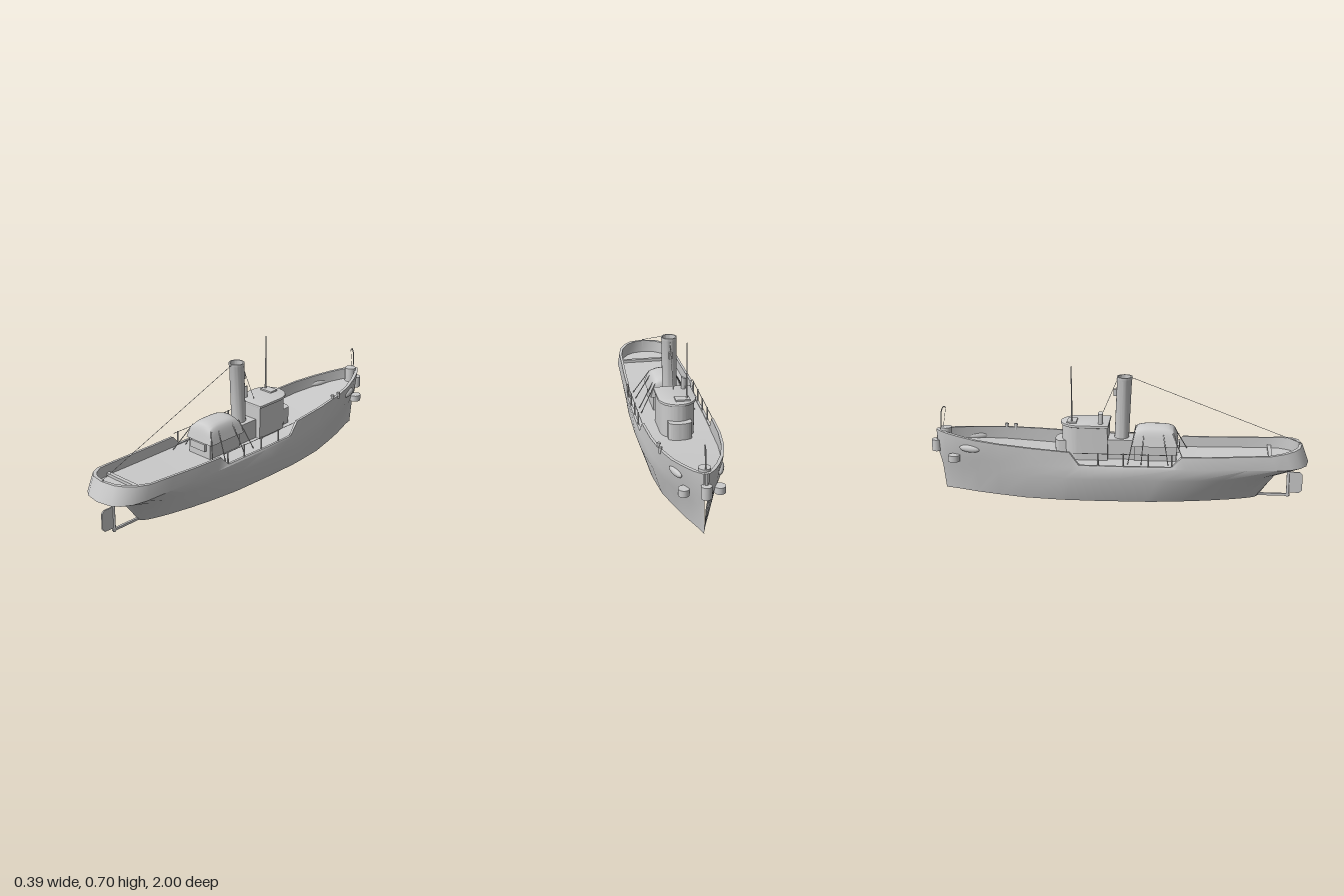
import * as THREE from 'three';
import { toCreasedNormals } from 'three/addons/utils/BufferGeometryUtils.js';

const mat = new THREE.MeshStandardMaterial({ color: 0xcccccc });
const matDouble = new THREE.MeshStandardMaterial({ color: 0xcccccc, side: THREE.DoubleSide });

// Piecewise linear lookup in a list of [position, value]
function along(list, p) {
  if (p <= list[0][0]) return list[0][1];
  for (let i = 1; i < list.length; i++) {
    const [p0, v0] = list[i - 1], [p1, v1] = list[i];
    if (p <= p1) return v0 + (v1 - v0) * (p - p0) / (p1 - p0);
  }
  return list[list.length - 1][1];
}

const SHEER = [[-0.97, 0.33], [-0.75, 0.31], [-0.5, 0.295], [-0.24, 0.278], [-0.19, 0.21],
  [0.29, 0.21], [0.34, 0.263], [0.5, 0.265], [0.8, 0.275], [0.965, 0.295]];
const DECK = [[-0.97, 0.27], [-0.3, 0.205], [0.4, 0.205], [0.97, 0.225]];

// Hull stations, bow to stern: z of the rail, half widths at keel, knuckle, waist and rail
const STATIONS = [
  [-0.97, 0, 0.002, 0.008, 0.012], [-0.92, 0.01, 0.022, 0.042, 0.052],
  [-0.85, 0.03, 0.05, 0.075, 0.087], [-0.75, 0.06, 0.088, 0.115, 0.126],
  [-0.62, 0.09, 0.13, 0.15, 0.158], [-0.45, 0.125, 0.168, 0.177, 0.178],
  [-0.24, 0.143, 0.188, 0.19, 0.187], [-0.19, 0.145, 0.191, 0.192, 0.189],
  [0, 0.147, 0.195, 0.197, 0.192], [0.29, 0.14, 0.19, 0.192, 0.187],
  [0.34, 0.137, 0.188, 0.19, 0.184], [0.5, 0.12, 0.177, 0.183, 0.178],
  [0.65, 0.098, 0.158, 0.175, 0.17], [0.8, 0.068, 0.128, 0.168, 0.163],
  [0.87, 0.05, 0.104, 0.153, 0.147], [0.92, 0.034, 0.078, 0.122, 0.116],
  [0.95, 0.02, 0.05, 0.082, 0.077], [0.965, 0, 0, 0, 0]];

// Hull, bulwark and deck: one strip of sections, open underneath
function hullGeometry() {
  const pos = [], idx = [];
  const n = 12;
  STATIONS.forEach(([z, keel, knuckle, waist, rail], i) => {
    const u = (z + 0.97) / 1.935, top = along(SHEER, z);
    const at = (a, b) => a + (b - a) * u;
    const inner = Math.max(0, rail - 0.013);
    const half = [
      [keel, 0, at(-0.93, 0.74)], [knuckle, 0.135, at(-0.945, 0.84)],
      [waist, 0.2, at(-0.96, 1)], [rail, top, z],
      [inner, top, z * 0.985], [inner, Math.min(top, along(DECK, z)), z * 0.985]];
    const ring = [...half, ...half.slice().reverse().map(([x, y, w]) => [-x, y, w])];
    ring.forEach(p => pos.push(...p));
    if (i === 0) return;
    for (let j = 0; j < n - 1; j++) {
      const a = (i - 1) * n + j, c = i * n + j;
      idx.push(a, a + 1, c, a + 1, c + 1, c);
    }
  });
  const g = new THREE.BufferGeometry();
  g.setAttribute('position', new THREE.Float32BufferAttribute(pos, 3));
  g.setIndex(idx);
  return toCreasedNormals(g, 0.55);
}

// Tarpaulin: a box drawn in and rounded towards its top
function canopyGeometry() {
  const g = new THREE.BoxGeometry(0.18, 0.1, 0.24, 8, 8, 8);
  const p = g.attributes.position;
  for (let i = 0; i < p.count; i++) {
    const x = p.getX(i), z = p.getZ(i), t = p.getY(i) / 0.1 + 0.5;
    const round = 0.12 * Math.pow(t, 6);
    const crown = 0.012 * Math.pow(x / 0.09, 2) + 0.01 * Math.pow(z / 0.12, 4);
    p.setXYZ(i, x * (1 - 0.26 * t - round), t * (0.1 - crown), z * (1 - 0.14 * t - round * 0.7));
  }
  g.computeVertexNormals();
  return toCreasedNormals(g, 0.7);
}

// Plan outline with a rounded end towards the bow, raised to a height
function roundedHouse(halfWidth, aft, shoulder, fore, height, bevel = 0) {
  const s = new THREE.Shape();
  s.moveTo(halfWidth, -aft);
  s.lineTo(halfWidth, -shoulder);
  s.absellipse(0, -shoulder, halfWidth, shoulder - fore, 0, Math.PI, false, 0);
  s.lineTo(-halfWidth, -aft);
  s.closePath();
  const g = new THREE.ExtrudeGeometry(s, { depth: height, curveSegments: 20,
    bevelEnabled: bevel > 0, bevelSize: bevel, bevelThickness: bevel, bevelSegments: 2 });
  g.rotateX(-Math.PI / 2);
  return toCreasedNormals(g, 0.6);
}

export function createModel() {
  const model = new THREE.Group();
  const add = (name, geo, x = 0, y = 0, z = 0, m = mat) => {
    const mesh = new THREE.Mesh(geo, m);
    mesh.name = name;
    mesh.position.set(x, y, z);
    model.add(mesh);
    return mesh;
  };
  const box = (name, w, h, d, x, y, z) => add(name, new THREE.BoxGeometry(w, h, d), x, y + h / 2, z);
  const post = (name, r, h, x, y, z, rTop = r, sides = 16) =>
    add(name, new THREE.CylinderGeometry(rTop, r, h, sides), x, y + h / 2, z);
  const rod = (name, a, b, r) => {
    const from = new THREE.Vector3(...a), to = new THREE.Vector3(...b);
    const dir = to.clone().sub(from);
    const m = add(name, new THREE.CylinderGeometry(r, r, dir.length(), 6));
    m.position.copy(from).addScaledVector(dir, 0.5);
    m.quaternion.setFromUnitVectors(new THREE.Vector3(0, 1, 0), dir.normalize());
  };

  add('hull', hullGeometry(), 0, 0, 0, matDouble);
  box('aftDeckBeam', 0.31, 0.02, 0.02, 0, 0.215, 0.8);

  // Rudder, its post and the keel shoe
  const blade = new THREE.Shape([[0, 0], [0.06, 0], [0.075, 0.015], [0.075, 0.1], [0.06, 0.115], [0, 0.115]]
    .map(([a, b]) => new THREE.Vector2(a, b)));
  const rudder = new THREE.ExtrudeGeometry(blade, { depth: 0.008, bevelEnabled: false });
  rudder.translate(0, 0, -0.004).rotateY(-Math.PI / 2);
  add('rudder', rudder, 0, 0.022, 0.9);
  post('rudderPost', 0.008, 0.147, 0, 0, 0.9, 0.008, 10);
  box('keelShoe', 0.012, 0.012, 0.18, 0, 0.004, 0.82);

  // Aft deckhouse with its canopy
  box('aftHouse', 0.15, 0.09, 0.22, 0, 0.2, 0.2);
  add('canopy', canopyGeometry(), 0, 0.285, 0.195);
  box('aftHouseStep', 0.1, 0.04, 0.02, 0, 0.245, 0.315);

  // Wheelhouse with overhanging roof and low front locker
  box('engineCasing', 0.12, 0.11, 0.14, 0, 0.2, 0.02);
  add('wheelhouse', roundedHouse(0.088, -0.05, -0.2, -0.295, 0.185), 0, 0.2, 0);
  add('wheelhouseRoof', roundedHouse(0.092, -0.05, -0.2, -0.297, 0.004, 0.006), 0, 0.386, 0);
  add('frontLocker', roundedHouse(0.06, -0.25, -0.305, -0.332, 0.1), 0, 0.2, 0);
  box('roofHatch', 0.075, 0.01, 0.05, -0.022, 0.394, -0.24);
  post('mast', 0.005, 0.306, -0.045, 0.394, -0.24, 0.002, 8);

  // Roof ventilator with a slanted top
  const vent = new THREE.CylinderGeometry(0.013, 0.013, 0.07, 14);
  const vp = vent.attributes.position;
  for (let i = 0; i < vp.count; i++) if (vp.getY(i) > 0) vp.setY(i, 0.03 + vp.getX(i) * 0.4);
  add('ventilator', toCreasedNormals(vent, 0.6), -0.055, 0.425, -0.088);

  // Raked, open funnel
  const wall = [[0.038, 0], [0.039, 0.34], [0.041, 0.345], [0.041, 0.36], [0.034, 0.36], [0.034, 0.2], [0, 0.2]];
  const funnel = new THREE.LatheGeometry(wall.map(p => new THREE.Vector2(...p)), 32);
  const fp = funnel.attributes.position;
  for (let i = 0; i < fp.count; i++) fp.setZ(i, fp.getZ(i) + fp.getY(i) * 0.045);
  add('funnel', toCreasedNormals(funnel, 0.6), 0, 0.28, 0.018, matDouble);
  box('funnelWhistle', 0.018, 0.035, 0.018, 0, 0.535, -0.014);

  // Rigging
  post('sternPost', 0.005, 0.07, 0, 0.23, 0.955, 0.005, 8);
  rod('sternStay', [0, 0.635, 0.07], [0, 0.3, 0.955], 0.0013);
  rod('forwardStay', [0, 0.62, -0.005], [0, 0.395, -0.1], 0.0013);

  for (const s of [-1, 1]) {
    // Open rail along the waist
    for (const z of [0.29, 0.17, 0.04, -0.09]) post('railPost', 0.004, 0.075, s * 0.183, 0.203, z, 0.004, 8);
    rod('handrail', [s * 0.183, 0.274, 0.32], [s * 0.183, 0.274, -0.22], 0.0018);
    // Canopy guys
    for (const [z0, z1] of [[0.09, 0.06], [0.14, 0.13], [0.24, 0.27], [0.29, 0.36]])
      rod('canopyGuy', [s * 0.066, 0.355, z0], [s * 0.145, 0.207, z1], 0.0025);
    // Anchor and hawse fairing on each bow
    const anchor = post('anchor', 0.028, 0.034, s * 0.086, 0.18, -0.865);
    anchor.scale.z = 1.15;
    const hawse = add('hawseFairing', new THREE.SphereGeometry(1, 16, 10), s * 0.108, 0.258, -0.775);
    hawse.scale.set(0.016, 0.02, 0.06);
    hawse.rotation.y = s * 0.3;
  }

  // Bollards on the left bulwark
  for (const z of [-0.57, -0.62]) {
    post('bollard', 0.008, 0.035, 0.155, 0.285, z, 0.008, 12);
    post('bollardCap', 0.011, 0.006, 0.155, 0.312, z, 0.011, 12);
  }

  // Bow capstan, fender and hooked lamp pole
  post('capstan', 0.03, 0.08, 0, 0.262, -0.92, 0.03, 24);
  post('bowFender', 0.026, 0.062, 0, 0.21, -0.974, 0.026, 20);
  box('fenderBracket', 0.014, 0.1, 0.016, 0, 0.23, -0.962);
  const hook = new THREE.CatmullRomCurve3([[0.3, -0.945], [0.39, -0.946], [0.435, -0.94], [0.455, -0.928], [0.448, -0.918]]
    .map(([y, z]) => new THREE.Vector3(0, y, z)));
  add('lampPole', new THREE.TubeGeometry(hook, 24, 0.003, 6));
  rod('lampLine', [0, 0.448, -0.918], [0, 0.34, -0.935], 0.001);

  return model;
}
